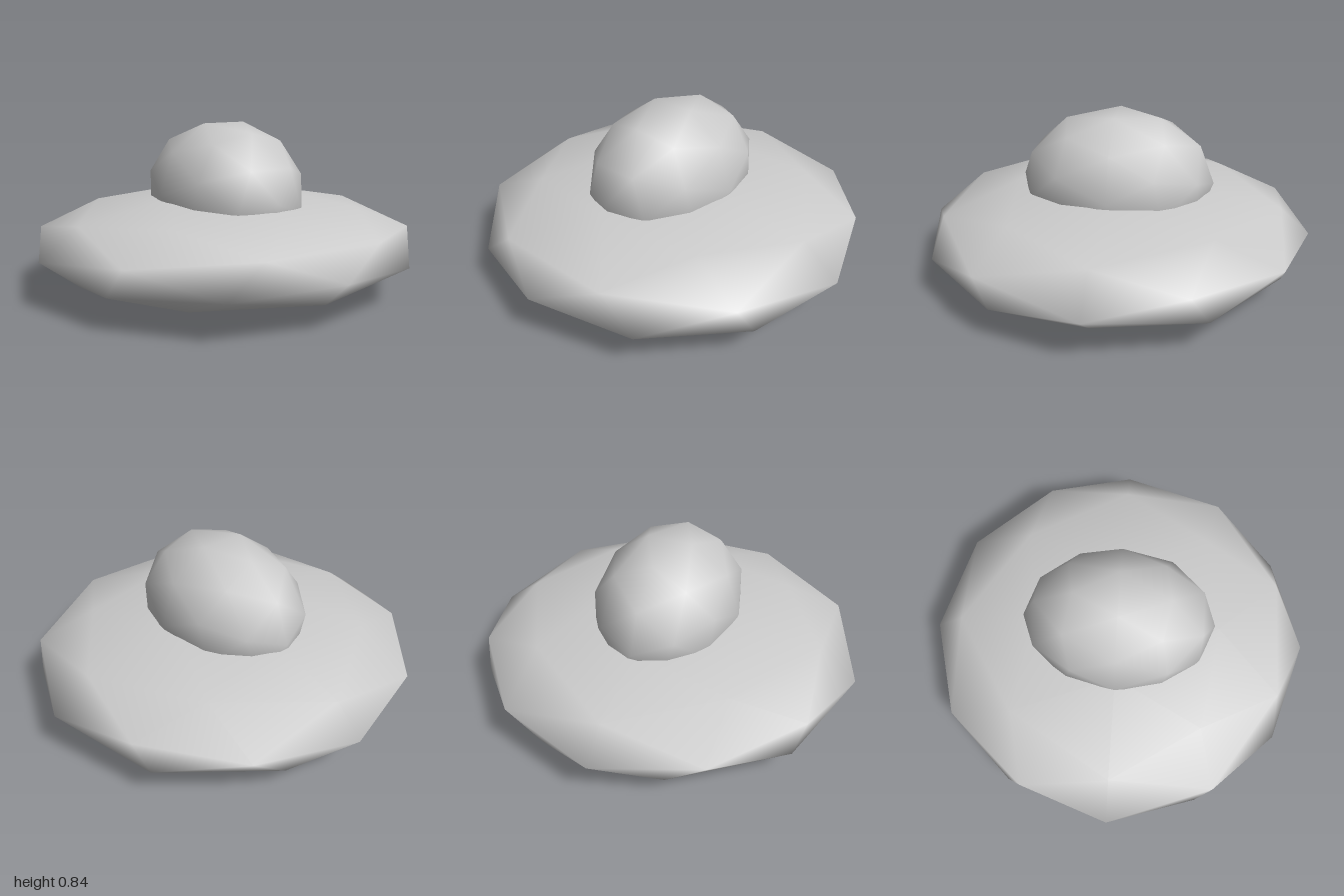
import * as THREE from 'three';
import { mergeVertices } from 'three/addons/utils/BufferGeometryUtils.js';

const material = new THREE.MeshStandardMaterial({ color: 0xcccccc });

// Smooth low-poly ellipsoid: an 80-face icosphere with its poles on the z axis
function ellipsoid(name, rx, ry, rz, centerY) {
  let geometry = new THREE.IcosahedronGeometry(1, 1);
  geometry.deleteAttribute('uv');
  geometry.deleteAttribute('normal');
  geometry = mergeVertices(geometry, 1e-4);
  geometry.rotateX(Math.atan(2 / (1 + Math.sqrt(5)))); // bring a corner to +z
  geometry.scale(rx, ry, rz);
  geometry.computeVertexNormals();
  const mesh = new THREE.Mesh(geometry, material);
  mesh.name = name;
  mesh.position.y = centerY;
  return mesh;
}

export function createModel() {
  const model = new THREE.Group();
  model.name = 'flyingSaucer';

  // Flat saucer hull resting on the ground
  model.add(ellipsoid('saucerHull', 1, 0.25, 1, 0.238));

  // Cabin dome, longer front to back, sunk into the hull
  model.add(ellipsoid('cabinDome', 0.375, 0.375, 0.5, 0.488));

  return model;
}
